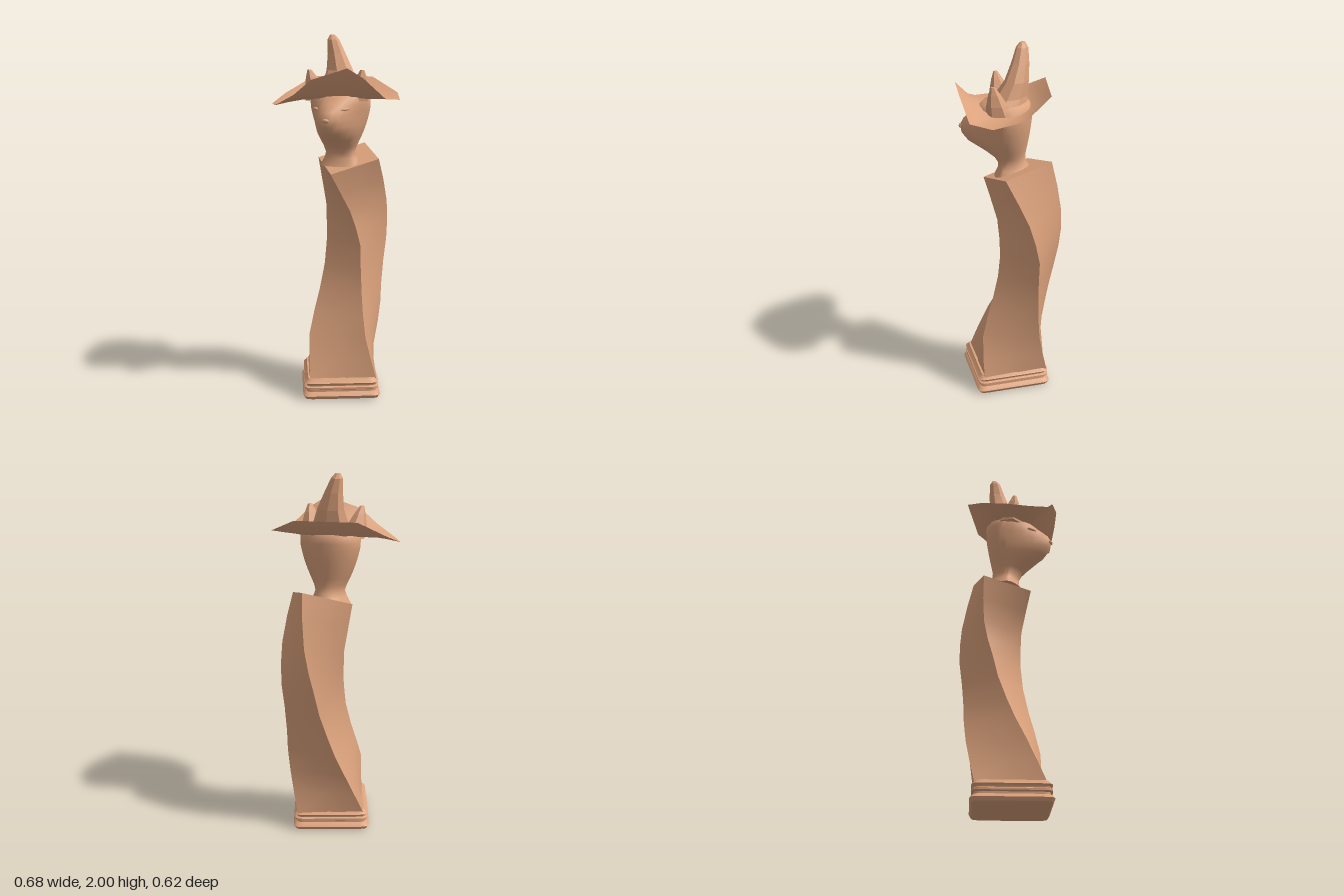
import * as THREE from 'three';
import { toCreasedNormals } from 'three/addons/utils/BufferGeometryUtils.js';

const V = (x, y, z) => new THREE.Vector3(x, y, z);
const rad = THREE.MathUtils.degToRad;
const COLOR = 0xdda37d;

// Skin a stack of closed rings (counter-clockwise seen from above, bottom to top)
function loft(rings, crease, capBottom = true, capTop = true) {
  const n = rings[0].length, pts = rings.flat(), index = [];
  for (let i = 0; i < rings.length - 1; i++) {
    for (let j = 0; j < n; j++) {
      const a = i * n + j, b = i * n + (j + 1) % n;
      index.push(a, b, b + n, a, b + n, a + n);
    }
  }
  const cap = (ring, start, up) => {
    const c = pts.length;
    pts.push(ring.reduce((s, p) => s.add(p), V(0, 0, 0)).divideScalar(n));
    for (let j = 0; j < n; j++) {
      const a = start + j, b = start + (j + 1) % n;
      up ? index.push(c, a, b) : index.push(c, b, a);
    }
  };
  if (capBottom) cap(rings[0], 0, false);
  if (capTop) cap(rings[rings.length - 1], (rings.length - 1) * n, true);
  const g = new THREE.BufferGeometry().setFromPoints(pts);
  g.setIndex(index);
  return toCreasedNormals(g, crease);
}

const ellipse = (n, cx, y, cz, rx, rz, turn = 0) =>
  Array.from({ length: n }, (_, i) => {
    const t = i / n * Math.PI * 2 + turn;
    return V(cx + rx * Math.sin(t), y, cz + rz * Math.cos(t));
  });

// Moulded square plinth with softened corners
function plinthGeometry() {
  const profile = [[0, 0.26], [0.006, 0.285], [0.025, 0.3], [0.037, 0.288], [0.045, 0.272], [0.056, 0.272],
    [0.062, 0.287], [0.072, 0.287], [0.078, 0.272], [0.086, 0.274], [0.096, 0.287], [0.108, 0.272], [0.118, 0.262]];
  return loft(profile.map(([y, r]) => {
    const ring = [];
    for (let k = 0; k < 4; k++) {
      for (const [off, s] of [[-7, 0.91], [-3, 0.955], [0, 0.97], [3, 0.955], [7, 0.91]]) {
        const t = rad(-6 + k * 90 + off);
        ring.push(V(r * s * Math.sin(t), y, r * s * Math.cos(t)));
      }
    }
    return ring;
  }), 0.6);
}

// Square column that twists a quarter turn and bends
function columnGeometry() {
  // height, centre x, centre z, corner radius, corner angle, tilt of the section
  const sections = [[0.1, 0, -0.01, 0.263, 85, 0], [0.22, 0, -0.025, 0.245, 76, 0], [0.35, 0, -0.045, 0.228, 66, 0],
    [0.47, 0.003, -0.075, 0.207, 59, 0], [0.58, 0.005, -0.1, 0.187, 54, 0], [0.72, 0.008, -0.13, 0.172, 47, 0],
    [0.85, 0.01, -0.15, 0.172, 42, 0.03], [0.96, 0.01, -0.153, 0.173, 33, 0.1], [1.07, 0.01, -0.145, 0.175, 24, 0.18],
    [1.2, 0.008, -0.11, 0.184, 14, 0.28], [1.325, 0.006, -0.07, 0.193, 6, 0.36]];
  return loft(sections.map(([y, cx, cz, r, deg, tilt]) => {
    const corners = [0, 1, 2, 3].map((k) => {
      const t = rad(deg + k * 90), dz = r * Math.cos(t);
      return V(cx + r * Math.sin(t), y - tilt * dz, cz + dz);
    });
    return corners.flatMap((c, k) => [c, c.clone().lerp(corners[(k + 1) % 4], 0.5)]);
  }), 0.8);
}

// Head sections: height, half width, back reach, front reach, snout sharpness
const HEAD = [[1.29, 0.115, 0.16, 0.06, 1], [1.335, 0.09, 0.13, 0.04, 1], [1.365, 0.08, 0.11, 0.04, 1],
  [1.4, 0.092, 0.105, 0.065, 1.1], [1.44, 0.112, 0.112, 0.13, 1.4], [1.48, 0.13, 0.12, 0.205, 1.8],
  [1.52, 0.145, 0.127, 0.24, 2.2], [1.56, 0.157, 0.133, 0.248, 2.5], [1.6, 0.167, 0.138, 0.226, 2.4],
  [1.635, 0.17, 0.14, 0.185, 1.8], [1.67, 0.165, 0.142, 0.15, 1.3], [1.7, 0.14, 0.12, 0.12, 1]];
function headGeometry() {
  const n = 32;
  return loft(HEAD.map(([y, w, back, front, p]) => Array.from({ length: n }, (_, i) => {
    const t = i / n * Math.PI * 2, c = Math.cos(t);
    return V(w * Math.sin(t), y, c > 0 ? front * Math.pow(c, p) : back * c);
  })), 1.2);
}

// Wavy wide brim, swept from the rim in towards the crown
function brimGeometry() {
  const rim = [[-0.075, 1.69, 0.315], [0.02, 1.77, 0.285], [0.19, 1.83, 0.2], [0.25, 1.78, 0.145],
    [0.33, 1.67, 0.05], [0.335, 1.66, -0.08], [0.235, 1.69, -0.215], [0.03, 1.77, -0.27],
    [-0.265, 1.77, -0.115], [-0.34, 1.68, 0.05], [-0.315, 1.63, 0.2], [-0.22, 1.63, 0.29]];
  const base = 1.665;
  return loft([1, 0.8, 0.6, 0.42].map((s) =>
    rim.map(([x, y, z]) => V(x * s, base + (y - base) * Math.pow((s - 0.42) / 0.58, 1.3), z * s))), 1.2, false, true);
}

// Crooked pointed crown
function crownGeometry() {
  const sections = [[0, 1.65, 0, 0.155, 0.115], [-0.015, 1.73, -0.02, 0.105, 0.085], [-0.035, 1.81, -0.047, 0.08, 0.062],
    [-0.062, 1.9, -0.055, 0.053, 0.046], [-0.084, 1.975, -0.055, 0.034, 0.032], [-0.09, 2, -0.055, 0.015, 0.014]];
  return loft(sections.map(([x, y, z, rx, rz]) => ellipse(8, x, y, z, rx, rz, 0.3)), 0.2);
}

// Stubby ear poking up through the brim, leaning from its foot to its tip
function earGeometry(foot, tip) {
  return loft([[0, 1.1], [0.4, 0.85], [0.75, 0.5], [1, 0.18]].map(([t, s]) => {
    const c = foot.clone().lerp(tip, t);
    return ellipse(6, c.x, c.y, c.z, 0.065 * s, 0.065 * s, 0.4);
  }), 0.2);
}

export function createModel() {
  const model = new THREE.Group();
  model.name = 'hattedFoxColumn';
  const smooth = new THREE.MeshStandardMaterial({ color: COLOR });
  const thin = new THREE.MeshStandardMaterial({ color: COLOR, side: THREE.DoubleSide });
  const faceted = new THREE.MeshStandardMaterial({ color: COLOR, flatShading: true });
  const add = (name, geometry, material, parent = model) => {
    const mesh = new THREE.Mesh(geometry, material);
    mesh.name = name;
    parent.add(mesh);
    return mesh;
  };

  add('plinth', plinthGeometry(), smooth);
  add('twistedColumn', columnGeometry(), smooth);

  // Head, turned a little to its left
  const head = new THREE.Group();
  head.name = 'head';
  head.rotation.y = 0.3;
  model.add(head);
  add('faceAndNeck', headGeometry(), smooth, head);
  for (const side of [-1, 1]) {
    const eye = add(side > 0 ? 'leftEye' : 'rightEye', new THREE.SphereGeometry(1, 12, 8), smooth, head);
    eye.scale.set(0.032, 0.008, 0.012);
    eye.position.set(side * 0.078, 1.612, 0.158);
    eye.rotation.set(0, side * 0.75, side * 0.15);
  }
  const nose = add('nose', new THREE.SphereGeometry(1, 12, 8), smooth, head);
  nose.scale.set(0.02, 0.012, 0.012);
  nose.position.set(0, 1.555, 0.242);

  // Hat with the ears standing through it
  const hat = new THREE.Group();
  hat.name = 'hat';
  model.add(hat);
  add('brim', brimGeometry(), thin, hat);
  add('crown', crownGeometry(), faceted, hat);
  add('rightEar', earGeometry(V(-0.1, 1.65, 0.065), V(-0.12, 1.815, 0.115)), faceted, hat);
  add('leftEar', earGeometry(V(0.11, 1.65, -0.015), V(0.15, 1.815, 0.005)), faceted, hat);
  return model;
}
